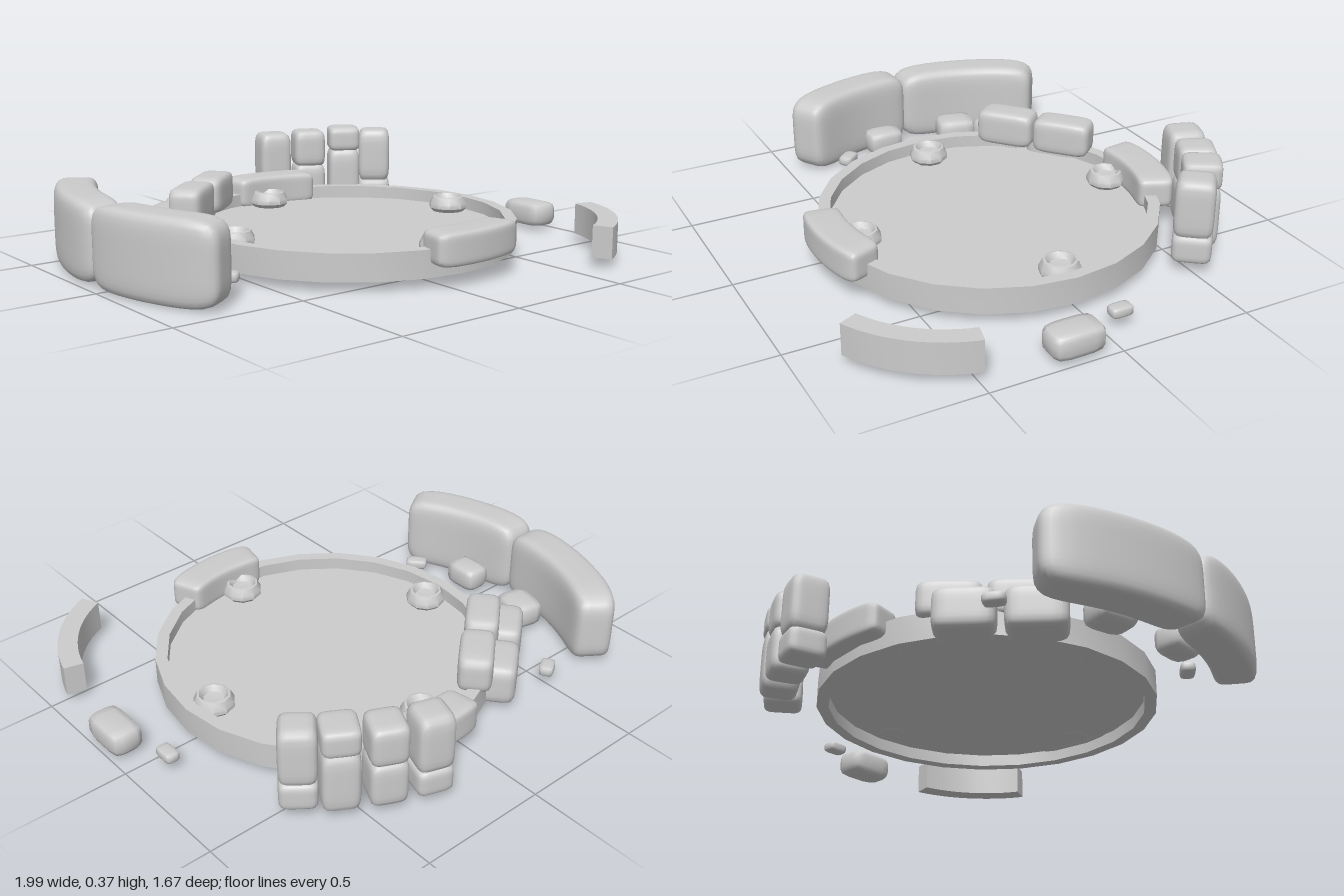
import * as THREE from 'three';
import { mergeVertices, toCreasedNormals } from 'three/addons/utils/BufferGeometryUtils.js';

const rad = THREE.MathUtils.degToRad;

export function createModel() {
  const root = new THREE.Group();
  const mat = new THREE.MeshStandardMaterial({ color: 0xcccccc });

  const add = (name, geo, x = 0, y = 0, z = 0, ry = 0) => {
    const m = new THREE.Mesh(geo, mat);
    m.name = name;
    m.position.set(x, y, z);
    m.rotation.y = ry;
    root.add(m);
    return m;
  };

  // Soft pillow block: a subdivided cube pulled to a superellipsoid, then placed by a rule
  const pillow = (seg, p, place) => {
    let g = new THREE.BoxGeometry(2, 2, 2, seg, seg, seg);
    g.deleteAttribute('uv');
    g.deleteAttribute('normal');
    g = mergeVertices(g);
    const pos = g.attributes.position, v = new THREE.Vector3();
    for (let i = 0; i < pos.count; i++) {
      v.fromBufferAttribute(pos, i);
      const n = (Math.abs(v.x) ** p + Math.abs(v.y) ** p + Math.abs(v.z) ** p) ** (1 / p);
      place(v.divideScalar(n));
      pos.setXYZ(i, v.x, v.y, v.z);
    }
    g.computeVertexNormals();
    return g;
  };

  // Straight stone standing between heights y0 and y1
  const stone = (name, x, z, w, d, y0, y1, ry = 0, seg = 8, p = 6) =>
    add(name, pillow(seg, p, v => v.multiply(new THREE.Vector3(w / 2, (y1 - y0) / 2, d / 2))),
      x, (y0 + y1) / 2, z, ry);

  // Stone bent along a circle, angles in degrees from +z toward +x
  const arcStone = (name, cx, cz, R, a0, a1, thick, y0, y1, p) =>
    add(name, pillow(12, p, v => {
      const a = rad((a0 + a1) / 2 + v.x * (a1 - a0) / 2), r = R + v.z * thick / 2;
      v.set(r * Math.sin(a), v.y * (y1 - y0) / 2, r * Math.cos(a));
    }), cx, (y0 + y1) / 2, cz);

  const lathe = (pts, seg, crease) => toCreasedNormals(
    new THREE.LatheGeometry(pts.map(([x, y]) => new THREE.Vector2(x, y)), seg), crease);

  // Pool: ring wall and a thin water sheet
  const PX = 0.08, PZ = 0.01;
  add('poolWall', lathe([[0.6, 0.04], [0.645, 0.04], [0.645, 0.142], [0.6, 0.142], [0.6, 0.04]], 24, 0.5),
    PX, 0, PZ);
  add('poolWater', new THREE.CylinderGeometry(0.602, 0.602, 0.006, 24), PX, 0.09, PZ);

  // Four round fountain dishes
  const dish = lathe([[0, 0.08], [0.055, 0.085], [0.077, 0.108], [0.077, 0.124], [0.063, 0.152],
    [0.054, 0.154], [0.04, 0.132], [0, 0.126]], 10, 0.6);
  for (let i = 0; i < 4; i++) {
    const a = i * Math.PI / 2;
    add('fountainDish', dish, PX + 0.525 * Math.sin(a), 0, PZ + 0.525 * Math.cos(a));
  }

  // Curved cap stones on the pool rim
  arcStone('frontRimStone', PX, PZ, 0.64, -12.5, 21, 0.14, 0.082, 0.205, 8);
  arcStone('backRimStone', PX, PZ, 0.64, 156, 190, 0.14, 0.082, 0.205, 8);

  // Two large curved boulders
  arcStone('backBoulder', 0, -0.08, 0.912, -127.5, -89, 0.165, 0.005, 0.302, 6);
  arcStone('frontBoulder', 0, -0.08, 0.912, -89.5, -56, 0.165, 0.005, 0.308, 6);

  // Stepped stones at the pool edge
  for (const [x, z] of [[-0.305, -0.515], [-0.495, -0.36]])
    stone('lowerStepStone', x, z, 0.22, 0.16, 0.03, 0.19, 0.68);
  for (const [x, z] of [[-0.215, -0.495], [-0.405, -0.34]])
    stone('upperStepStone', x, z, 0.235, 0.13, 0.12, 0.262, 0.72);

  // Stacked wall: x, z, turn, then the heights of bottom, joint and top
  const columns = [
    [0.262, -0.745, -0.33, 0.04, 0.14, 0.36],
    [0.412, -0.69, -0.45, 0.04, 0.215, 0.365],
    [0.55, -0.615, -0.55, 0.04, 0.28, 0.378],
    [0.648, -0.52, -0.68, 0.045, 0.148, 0.37],
  ];
  for (const [x, z, ry, b, j, t] of columns) {
    stone('lowerWallStone', x, z, 0.135, 0.145, b, j + 0.005, ry);
    stone('upperWallStone', x, z, 0.135, 0.145, j - 0.005, t, ry);
  }

  // Loose stones: x, z, width, depth, bottom, top, turn
  const loose = [
    [-0.72, -0.25, 0.135, 0.16, 0.025, 0.125, -0.25],
    [-0.755, 0.075, 0.11, 0.15, 0.025, 0.12, 0],
    [0.935, 0.155, 0.125, 0.2, 0.02, 0.118, 0],
    [-0.51, -0.59, 0.08, 0.055, 0.05, 0.088, 0.55],
    [-0.655, 0.28, 0.055, 0.085, 0.05, 0.088, 0.7],
    [0.865, -0.07, 0.055, 0.085, 0.05, 0.088, 0],
  ];
  for (const s of loose) stone('looseStone', ...s, 4, 5);

  // Square-edged curved kerb
  const kerb = new THREE.Shape();
  kerb.absarc(0, 0, 0.545, rad(14), rad(65), false);
  kerb.absarc(0, 0, 0.47, rad(65), rad(14), true);
  const kerbGeo = new THREE.ExtrudeGeometry(kerb, { depth: 0.12, bevelEnabled: false, curveSegments: 6 });
  kerbGeo.rotateX(Math.PI / 2);
  add('kerb', toCreasedNormals(kerbGeo, 0.5), 0.41, 0.16, 0.35);

  return root;
}
